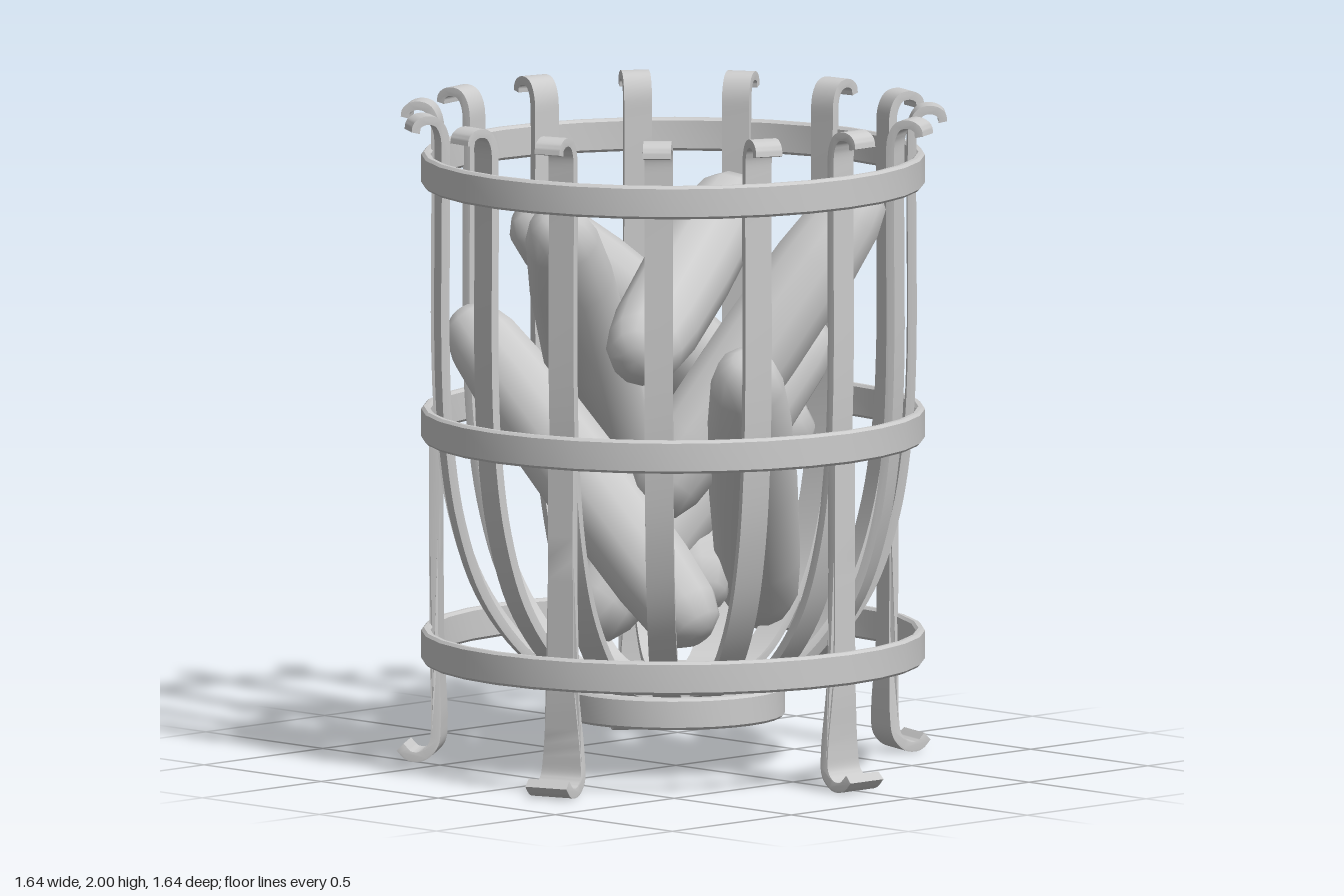
import * as THREE from 'three';
import { toCreasedNormals } from 'three/addons/utils/BufferGeometryUtils.js';

const material = new THREE.MeshStandardMaterial({ color: 0xcccccc });
const v2 = (p) => new THREE.Vector2(p[0], p[1]);

function mesh(name, geometry) {
  const m = new THREE.Mesh(geometry, material);
  m.name = name;
  return m;
}

// Flat bar bent along a (radius, height) path; widthAt gives its width by height
function bentBar(path, samples, thickness, widthAt) {
  const curve = new THREE.CatmullRomCurve3(path.map(([r, y]) => new THREE.Vector3(r, y, 0)), false, 'centripetal');
  const outer = [], inner = [];
  for (let i = 0; i <= samples; i++) {
    const p = curve.getPoint(i / samples), t = curve.getTangent(i / samples);
    const nx = -t.y * thickness / 2, ny = t.x * thickness / 2;
    outer.push(new THREE.Vector2(p.x + nx, p.y + ny));
    inner.unshift(new THREE.Vector2(p.x - nx, p.y - ny));
  }
  const bevel = 0.004;
  const geometry = new THREE.ExtrudeGeometry(new THREE.Shape([...outer, ...inner]), {
    depth: 1 - 2 * bevel, bevelEnabled: true, bevelSize: bevel, bevelOffset: -bevel,
    bevelThickness: bevel, bevelSegments: 1,
  });
  geometry.translate(0, 0, bevel - 0.5);
  const pos = geometry.attributes.position;
  for (let i = 0; i < pos.count; i++) pos.setZ(i, pos.getZ(i) * widthAt(pos.getY(i)));
  return toCreasedNormals(geometry, 0.6);
}

// Bevelled hoop of rectangular section
function hoop(rIn, rOut, y0, y1, sides) {
  const b = 0.008;
  const section = [
    [rIn + b, y0], [rOut - b, y0], [rOut, y0 + b], [rOut, y1 - b],
    [rOut - b, y1], [rIn + b, y1], [rIn, y1 - b], [rIn, y0 + b], [rIn + b, y0],
  ].map(v2);
  return toCreasedNormals(new THREE.LatheGeometry(section, sides), 0.6);
}

// Rounded log with small flat ends, running from a to b
function log(a, b) {
  const from = new THREE.Vector3(...a), to = new THREE.Vector3(...b);
  const length = from.distanceTo(to);
  const profile = [
    [0, 0], [0.045, 0], [0.09, 0.03], [0.118, 0.1], [0.132, 0.25], [0.137, length * 0.5],
    [0.13, length - 0.3], [0.112, length - 0.12], [0.085, length - 0.035], [0.04, length], [0, length],
  ].map(v2);
  const m = mesh('log', toCreasedNormals(new THREE.LatheGeometry(profile, 12), 0.75));
  m.position.copy(from);
  m.quaternion.setFromUnitVectors(new THREE.Vector3(0, 1, 0), to.sub(from).normalize());
  return m;
}

export function createModel() {
  const model = new THREE.Group();
  model.name = 'fireBasket';
  const basket = new THREE.Group();
  basket.name = 'basket';
  basket.position.x = -0.012;
  model.add(basket);

  // Three hoops around the bars
  for (const [name, y] of [['lowerHoop', 0.37], ['middleHoop', 1.04], ['upperHoop', 1.81]])
    basket.add(mesh(name, hoop(0.727, 0.755, y - 0.05, y + 0.05, 32)));

  // Base ring and plate
  basket.add(mesh('baseRing', hoop(0.275, 0.335, 0.155, 0.25, 32)));
  const plate = mesh('basePlate', new THREE.CylinderGeometry(0.33, 0.33, 0.015, 32));
  plate.position.y = 0.268;
  basket.add(plate);

  // Fifteen bars, hooked outward at the top and curving in to the base
  const barPath = [
    [0.808, 1.95], [0.803, 1.972], [0.778, 1.986], [0.742, 1.98], [0.72, 1.945], [0.715, 1.85],
    [0.715, 1.25], [0.702, 1.0], [0.665, 0.76], [0.59, 0.54], [0.47, 0.37], [0.36, 0.285], [0.25, 0.252],
  ];
  const barGeometry = bentBar(barPath, 60, 0.026, () => 0.085);
  for (let i = 0; i < 15; i++) {
    const bar = mesh('bar', barGeometry);
    bar.rotation.y = i * Math.PI * 2 / 15;
    basket.add(bar);
  }

  // Five legs, flaring to a turned-up foot
  const legPath = [
    [0.719, 1.06], [0.719, 0.6], [0.716, 0.3], [0.71, 0.12], [0.718, 0.055],
    [0.752, 0.022], [0.79, 0.022], [0.818, 0.048],
  ];
  const legWidth = (y) => 0.085 + 0.055 * THREE.MathUtils.clamp((0.36 - y) / 0.32, 0, 1);
  const legGeometry = bentBar(legPath, 48, 0.03, legWidth);
  for (let i = 0; i < 5; i++) {
    const leg = mesh('leg', legGeometry);
    leg.rotation.y = i * Math.PI * 2 / 5;
    basket.add(leg);
  }

  // Heap of logs, each from its lower to its upper end
  const logs = new THREE.Group();
  logs.name = 'logs';
  const ends = [
    [[0.35, 1.31, 0.51], [-0.32, 1.65, -0.56]],
    [[-0.34, 0.8, -0.1], [0.115, 1.74, 0.62]],
    [[0.14, 0.82, 0.26], [0.41, 1.76, -0.41]],
    [[-0.03, 0.9, -0.56], [-0.44, 1.66, 0.22]],
    [[0.4, 0.46, 0.29], [-0.48, 1.37, 0.43]],
    [[0.08, 0.45, -0.28], [0.54, 1.31, 0.24]],
    [[-0.07, 0.44, 0.33], [0.09, 1.3, -0.51]],
    [[0.12, 0.5, 0.02], [-0.5, 1.27, -0.37]],
  ];
  for (const [a, b] of ends) logs.add(log(a, b));
  model.add(logs);

  return model;
}
